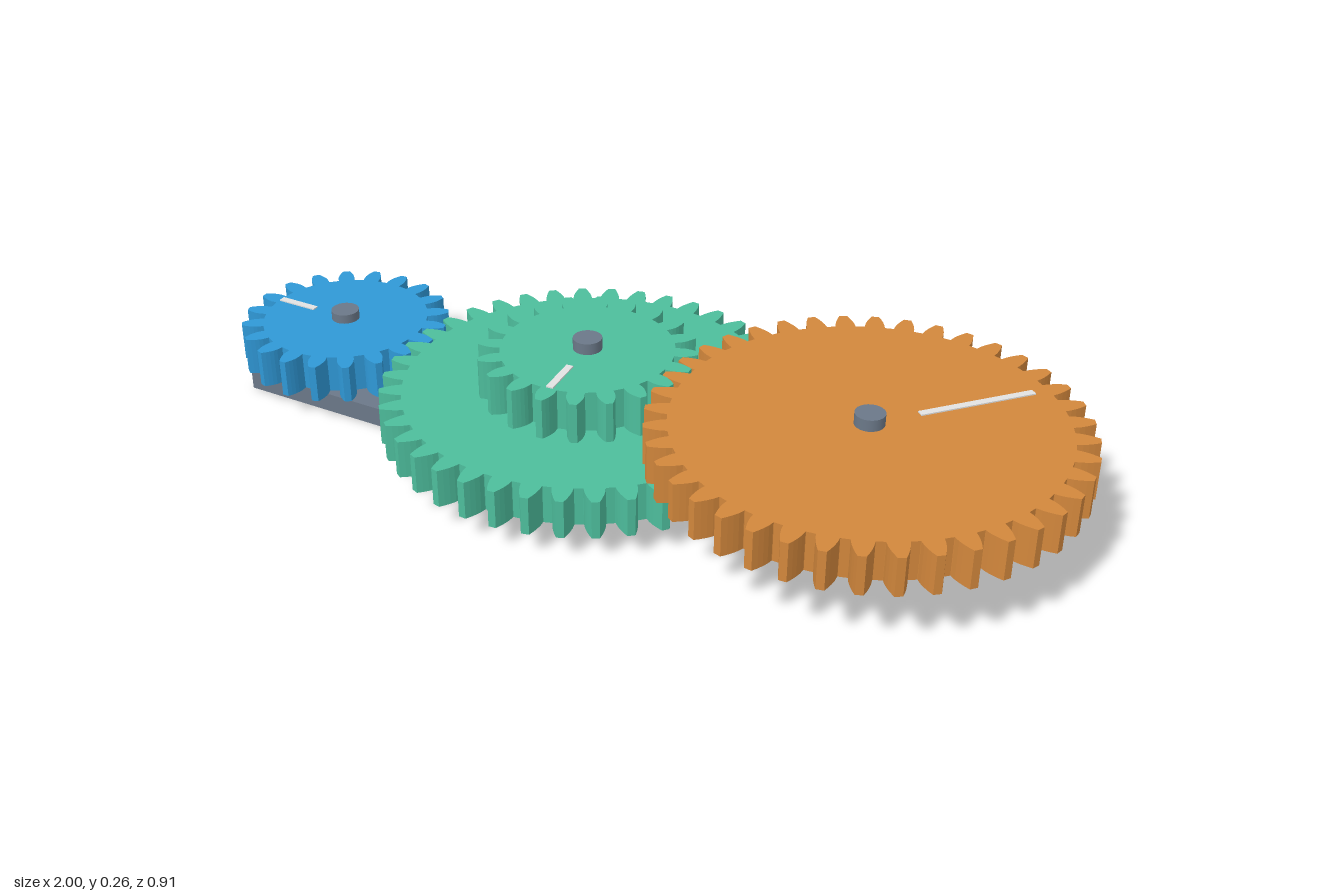
import * as THREE from 'three';

const mat = (name, color) => Object.assign(new THREE.MeshStandardMaterial({ color }), { name });

const M = 2 / 92;              // gear module: tooth size shared by every gear
const THICK = 4 * M;
const PRESSURE = THREE.MathUtils.degToRad(20);
const LOW = 0.0565, HIGH = 0.149; // undersides of the two gear layers
const BASE_H = 0.045;

// Involute spur gear lying flat, underside at y = 0, one tooth pointing along +x
function gearGeometry(teeth, height) {
  const pitch = teeth * M / 2, tip = pitch + M, root = pitch - 1.25 * M;
  const base = pitch * Math.cos(PRESSURE);
  const inv = (a) => Math.tan(a) - a;
  const halfAngle = (r) => Math.PI / (2 * teeth) + inv(PRESSURE)
    - inv(Math.acos(Math.min(1, base / r)));
  const start = Math.max(base, root);
  const flank = [[root, halfAngle(start) + 0.06 / teeth]];
  for (let i = 0; i <= 4; i++) {
    const r = start + (tip - start) * i / 4;
    flank.push([r, halfAngle(r)]);
  }
  const points = [];
  const add = (r, a) => points.push(new THREE.Vector2(r * Math.cos(a), r * Math.sin(a)));
  for (let t = 0; t < teeth; t++) {
    const mid = t * 2 * Math.PI / teeth;
    flank.forEach(([r, a]) => add(r, mid - a));
    [...flank].reverse().forEach(([r, a]) => add(r, mid + a));
  }
  const geo = new THREE.ExtrudeGeometry(new THREE.Shape(points), { depth: height, bevelEnabled: false });
  return geo.rotateX(-Math.PI / 2);
}

export function createModel() {
  const steel = mat('slate steel', 0x6b7888);
  const blue = mat('blue', 0x2f98d6);
  const green = mat('green', 0x4dbd9c);
  const orange = mat('orange', 0xd2873c);
  const pale = mat('pale marker', 0xe2e2e2);

  const model = new THREE.Group();
  model.name = 'gearTrain';
  const add = (parent, name, geo, material, x, y, z = 0) => {
    const mesh = new THREE.Mesh(geo, material);
    mesh.name = name;
    mesh.position.set(x, y, z);
    parent.add(mesh);
    return mesh;
  };

  // Axle positions
  const xIn = -1 + 11 * M, xMid = xIn + 30 * M, xOut = xMid + 30 * M;

  // Base plate, reaching past the first and last axles
  const left = xIn - 7 * M, right = xOut + 7 * M;
  add(model, 'basePlate', new THREE.BoxGeometry(right - left, BASE_H, 16 * M), steel,
    (left + right) / 2, BASE_H / 2);

  // Spacer boss and axle for each gear
  const post = (name, x, seat, top) => {
    const h = seat - BASE_H;
    add(model, name + 'Spacer', new THREE.CylinderGeometry(0.065, 0.065, h, 32), steel, x, BASE_H + h / 2);
    add(model, name + 'Axle', new THREE.CylinderGeometry(0.032, 0.032, top - BASE_H, 24), steel,
      x, (top + BASE_H) / 2);
  };
  post('input', xIn, LOW, 0.165);
  post('middle', xMid, LOW, 0.262);
  post('output', xOut, HIGH, 0.262);

  // Each turning set carries its gears and a radial marker along its own +x
  const rotor = (name, x, degrees, gears, r0, r1) => {
    const group = new THREE.Group();
    group.name = name;
    group.position.x = x;
    group.rotation.y = THREE.MathUtils.degToRad(degrees);
    let top = 0;
    for (const [label, teeth, y, height, material] of gears) {
      add(group, label, gearGeometry(teeth, height), material, 0, y);
      top = Math.max(top, y + height);
    }
    add(group, name + 'Marker', new THREE.BoxGeometry(r1 - r0, 0.004, 0.016), pale, (r0 + r1) / 2, top + 0.001);
    model.add(group);
  };
  const midTop = LOW + THICK;
  rotor('inputGearSet', xIn, 180, [['inputGear', 20, LOW, THICK, blue]], 0.088, 0.187);
  rotor('middleGearSet', xMid, -85.5, [
    ['middleLargeGear', 40, LOW, THICK, green],
    ['middleSmallGear', 20, midTop, HIGH + THICK - midTop, green],
  ], 0.088, 0.187);
  rotor('outputGearSet', xOut, 47.25, [['outputGear', 40, HIGH, THICK, orange]], 0.112, 0.374);

  return model;
}
